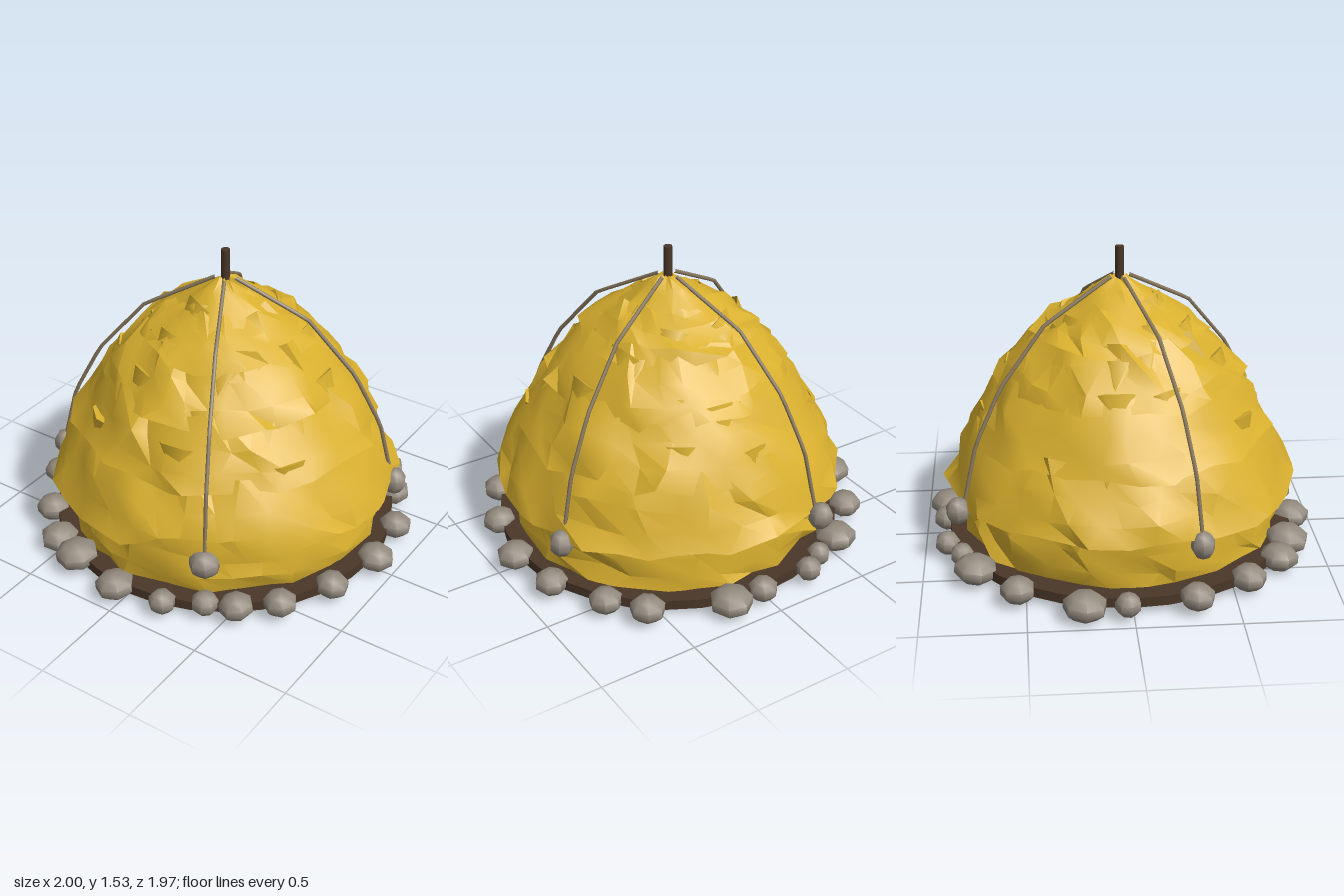
import * as THREE from 'three';
import { toCreasedNormals } from 'three/addons/utils/BufferGeometryUtils.js';

const straw = new THREE.MeshStandardMaterial({ color: 0xd9b02e, side: THREE.DoubleSide });
straw.name = 'straw';
const wood = new THREE.MeshStandardMaterial({ color: 0x4a3728 });
wood.name = 'dark wood';
const stone = new THREE.MeshStandardMaterial({ color: 0x938a7e });
stone.name = 'grey stone';
const rope = new THREE.MeshStandardMaterial({ color: 0x8b7a5e });
rope.name = 'rope';

// Seeded random numbers
let seed = 7;
function rand() {
  seed = (seed * 16807) % 2147483647;
  return seed / 2147483647;
}
const jitter = (amount) => (rand() * 2 - 1) * amount;

// Ragged ring of straw turned from a [radius, height] profile; its hem is the second row
function strawBand(name, profile, segments, roughR, roughY) {
  const points = profile.map(([r, y]) => new THREE.Vector2(r, y));
  const geo = new THREE.LatheGeometry(points, segments);
  const pos = geo.attributes.position;
  const rows = profile.length;
  for (let i = 0; i <= segments; i++) {
    for (let j = 0; j < rows; j++) {
      const k = i * rows + j;
      if (i === segments) { // close the seam
        pos.setXYZ(k, pos.getX(j), pos.getY(j), pos.getZ(j));
        continue;
      }
      const r = profile[j][0];
      if (r < 0.01) continue;
      const a = ((i + jitter(0.35)) / segments) * Math.PI * 2;
      const radius = r + jitter(roughR);
      const y = profile[j][1] + jitter(j === 1 ? roughY * 1.5 : roughY);
      pos.setXYZ(k, Math.sin(a) * radius, y, Math.cos(a) * radius);
    }
  }
  const mesh = new THREE.Mesh(toCreasedNormals(geo, 0.6), straw);
  mesh.name = name;
  return mesh;
}

// Rounded stone with an uneven outline
function makeStone(name, x, y, z, r, h) {
  const geo = new THREE.SphereGeometry(1, 7, 5);
  geo.scale(r, h, r);
  geo.rotateX(jitter(0.15));
  geo.rotateY(rand() * 6.28);
  const mesh = new THREE.Mesh(toCreasedNormals(geo, 0.85), stone);
  mesh.position.set(x, y, z);
  mesh.name = name;
  return mesh;
}

export function createModel() {
  const model = new THREE.Group();
  model.name = 'haystack';

  // Round wooden floor
  const floor = new THREE.Mesh(new THREE.CylinderGeometry(0.88, 0.88, 0.05, 32), wood);
  floor.position.y = 0.07;
  floor.name = 'floor';
  model.add(floor);

  // Straw body and overlapping thatch tiers, bottom to top
  model.add(strawBand('strawBody',
    [[0.79, 0.09], [0.785, 0.17], [0.785, 0.27], [0.77, 0.42]], 30, 0.03, 0.01));
  const tiers = [
    [[0.74, 0.39], [0.88, 0.35], [0.84, 0.44], [0.785, 0.55], [0.70, 0.69]],
    [[0.62, 0.67], [0.765, 0.635], [0.715, 0.72], [0.65, 0.82], [0.55, 0.95]],
    [[0.46, 0.93], [0.615, 0.89], [0.55, 0.97], [0.47, 1.06], [0.37, 1.16]],
    [[0.31, 1.15], [0.435, 1.115], [0.37, 1.17], [0.285, 1.225], [0.20, 1.28]],
    [[0.17, 1.25], [0.29, 1.215], [0.19, 1.28], [0.1, 1.34], [0.035, 1.385], [0, 1.39]],
  ];
  const segments = [36, 32, 30, 24, 16];
  const roughness = [0.027, 0.027, 0.027, 0.025, 0.017];
  tiers.forEach((profile, i) => {
    model.add(strawBand('thatchTier' + (i + 1), profile, segments[i], roughness[i], roughness[i] * 0.8));
  });

  // Flat loose flaps lying down the slope: count, radius, height, slope from vertical
  const tufts = new THREE.Group();
  tufts.name = 'tufts';
  const tuftRows = [[6, 0.69, 0.7, 0.45], [9, 0.56, 0.92, 0.65], [9, 0.415, 1.09, 0.8], [6, 0.275, 1.2, 0.95]];
  for (const [count, r, y, slope] of tuftRows) {
    for (let i = 0; i < count; i++) {
      const geo = new THREE.ConeGeometry(0.08 + rand() * 0.04, 0.16, 5);
      geo.scale(1, 1, 0.32);
      geo.rotateX(Math.PI - slope + jitter(0.2));
      const tuft = new THREE.Mesh(toCreasedNormals(geo, 0.8), straw);
      const a = ((i + rand() * 0.8) / count) * Math.PI * 2;
      const lift = jitter(0.05);
      const radius = r - lift * Math.tan(slope);
      tuft.position.set(Math.sin(a) * radius, y + lift, Math.cos(a) * radius);
      tuft.rotation.y = a + jitter(0.3);
      tuft.name = 'tuft';
      tufts.add(tuft);
    }
  }
  model.add(tufts);

  // Centre pole
  const pole = new THREE.Mesh(new THREE.CylinderGeometry(0.022, 0.024, 1.45, 8), wood);
  pole.position.y = 0.815;
  pole.name = 'pole';
  model.add(pole);

  // Four tie ropes in straight runs, each weighted by a hanging stone
  const ropePath = [[0.05, 1.39], [0.41, 1.2], [0.65, 0.92], [0.79, 0.65], [0.86, 0.36]];
  const ties = [[-0.80, 0.33, 0.06], [0.395, 0.76, 0.08], [0.815, -0.33, 0.063], [-0.36, -0.82, 0.063]];
  for (const [x, z, r] of ties) {
    const d = Math.hypot(x, z);
    const points = ropePath.map(([pr, y]) => new THREE.Vector3((x / d) * pr, y, (z / d) * pr));
    const curve = new THREE.CatmullRomCurve3(points, false, 'catmullrom', 0);
    const line = new THREE.Mesh(new THREE.TubeGeometry(curve, 20, 0.01, 6), rope);
    line.name = 'tieRope';
    model.add(line, makeStone('hangingStone', x, 0.32, z, r, 0.07));
  }

  // Ring of stones around the floor: x, z, radius
  const ring = [
    [0.03, -0.89, 0.075], [0.21, -0.88, 0.11], [0.58, -0.72, 0.09], [0.71, -0.55, 0.085], [0.86, -0.29, 0.085],
    [0.905, 0, 0.095], [0.835, 0.31, 0.085], [0.7, 0.57, 0.085], [0.54, 0.71, 0.088], [0.4, 0.77, 0.07],
    [0.22, 0.87, 0.07], [-0.05, 0.89, 0.1], [-0.34, 0.82, 0.112], [-0.51, 0.75, 0.1], [-0.7, 0.57, 0.09],
    [-0.875, 0.3, 0.087], [-0.92, -0.03, 0.065], [-0.9, -0.23, 0.11], [-0.75, -0.54, 0.088],
    [-0.53, -0.74, 0.11], [-0.37, -0.81, 0.06], [-0.25, -0.885, 0.065],
  ];
  const stones = new THREE.Group();
  stones.name = 'stoneRing';
  for (const [x, z, r] of ring) {
    stones.add(makeStone('ringStone', x, 0.085 + jitter(0.008), z, r, 0.045 + r * 0.22));
  }
  model.add(stones);

  return model;
}
